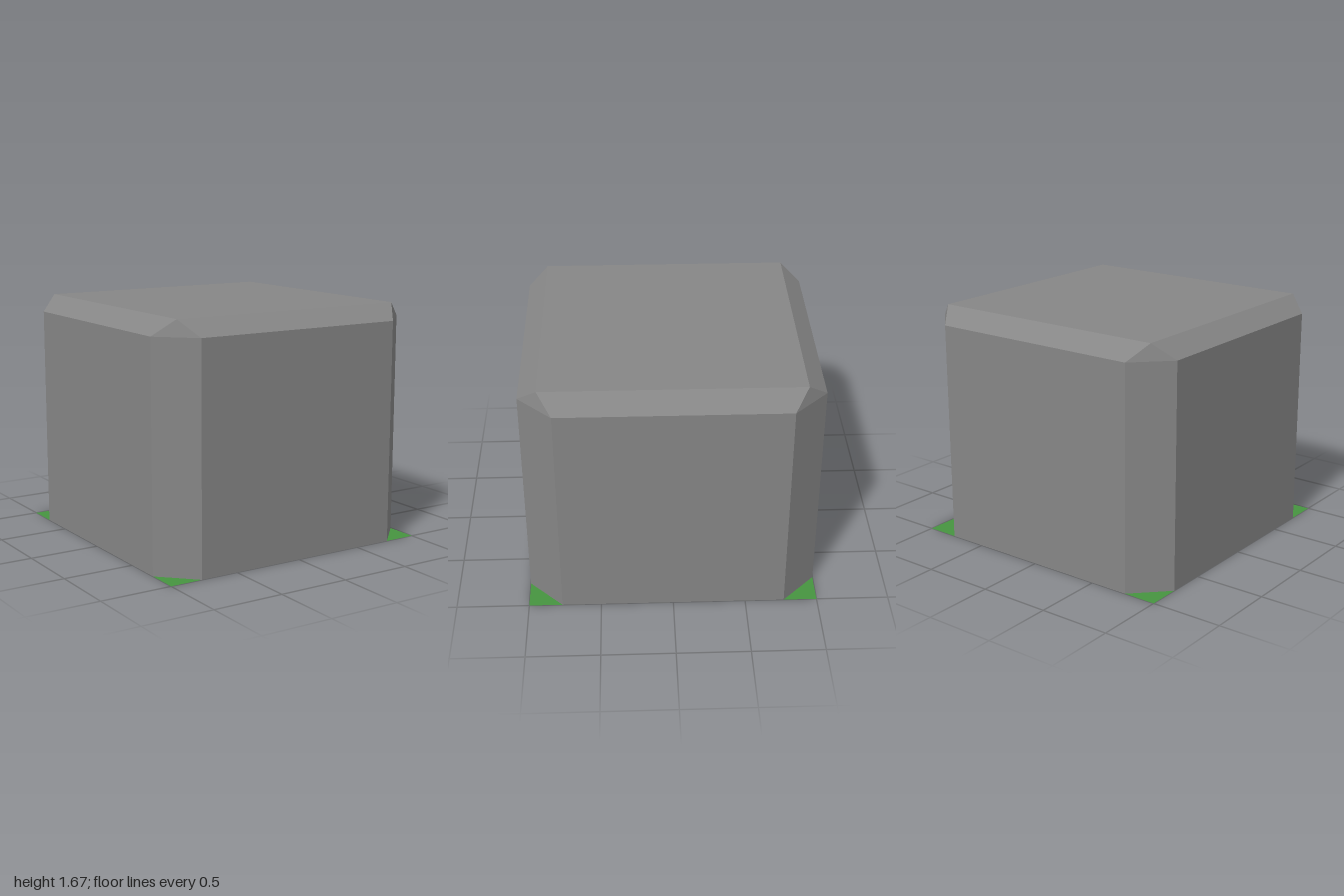
import * as THREE from 'three';

const stone = new THREE.MeshStandardMaterial({ name: 'stone grey', color: 0x868686 });
const grass = new THREE.MeshStandardMaterial({ name: 'grass green', color: 0x469440, side: THREE.DoubleSide });

// Eight corners of a square ring with cut corners, anticlockwise from above.
function ring(y, half, cut) {
  const points = [];
  for (let i = 0; i < 4; i++) {
    for (const x of [-cut, cut]) {
      const p = new THREE.Vector3(x, y, half);
      // exact quarter turns
      for (let k = 0; k < i; k++) p.set(p.z, y, -p.x);
      points.push(p);
    }
  }
  return points;
}

// Joins the rings with flat faces and closes the top.
function loft(rings) {
  const vertices = [];
  const triangle = (a, b, c) => {
    if (a.equals(b) || b.equals(c) || c.equals(a)) return;
    for (const p of [a, b, c]) vertices.push(p.x, p.y, p.z);
  };
  for (let r = 0; r < rings.length - 1; r++) {
    const low = rings[r], high = rings[r + 1];
    for (let i = 0; i < 8; i++) {
      const j = (i + 1) % 8;
      triangle(low[i], low[j], high[j]);
      triangle(low[i], high[j], high[i]);
    }
  }
  const top = rings[rings.length - 1];
  for (let i = 1; i < 7; i++) triangle(top[0], top[i], top[i + 1]);
  const geometry = new THREE.BufferGeometry();
  geometry.setAttribute('position', new THREE.Float32BufferAttribute(vertices, 3));
  geometry.computeVertexNormals();
  return geometry;
}

export function createModel() {
  const model = new THREE.Group();
  model.name = 'bevelledBlock';

  // Block with cut upright corners and a sloping rim around a square top
  const block = new THREE.Mesh(
    loft([ring(0, 1, 0.77), ring(1.56, 1, 0.77), ring(1.67, 0.866, 0.866)]),
    stone
  );
  block.name = 'block';

  // Flat square of ground under the block
  const ground = new THREE.Mesh(new THREE.PlaneGeometry(2, 2).rotateX(-Math.PI / 2), grass);
  ground.name = 'groundPlate';

  model.add(block, ground);
  return model;
}
